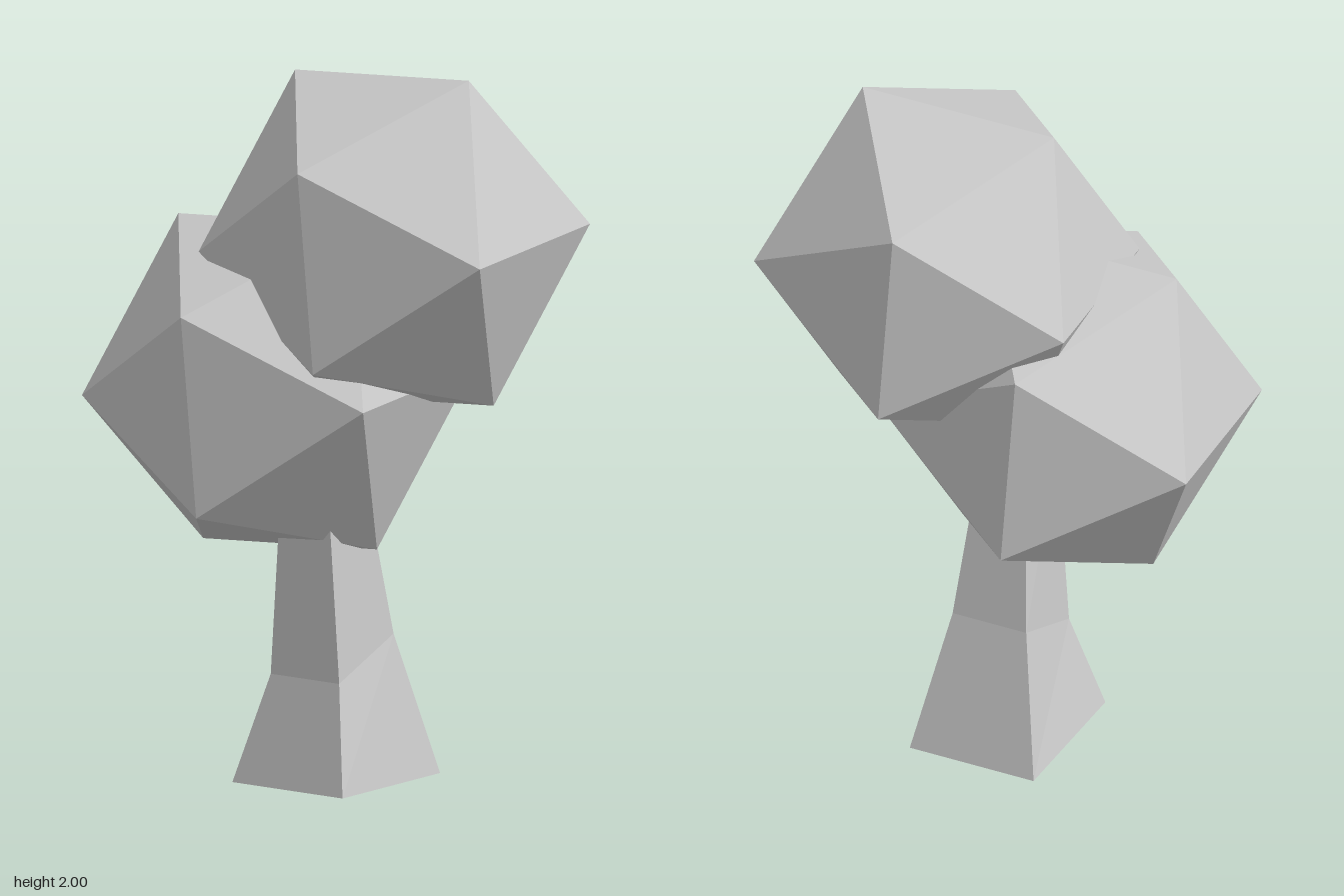
import * as THREE from 'three';

const material = new THREE.MeshStandardMaterial({ color: 0xcccccc, flatShading: true });

// Tapering square trunk with a slanted bend: a box whose corners move to three rings
function makeTrunk() {
  const rings = [
    { front: [0.19, 0, 0.225], back: [0.19, 0, -0.22] },
    { front: [0.118, 0.3, 0.145], back: [0.113, 0.4, -0.11] },
    { front: [0.08, 0.85, 0.147], back: [0.072, 0.85, -0.03] },
  ];
  const geometry = new THREE.BoxGeometry(2, 2, 2, 1, 2, 1);
  const p = geometry.attributes.position;
  for (let i = 0; i < p.count; i++) {
    const ring = rings[Math.round(p.getY(i)) + 1];
    const [x, y, z] = p.getZ(i) > 0 ? ring.front : ring.back;
    p.setXYZ(i, Math.sign(p.getX(i)) * x, y, z);
  }
  geometry.computeVertexNormals();
  const trunk = new THREE.Mesh(geometry, material);
  trunk.name = 'trunk';
  return trunk;
}

// Faceted foliage ball, both tilted the same way
function makeFoliage(name, x, y, z) {
  const ball = new THREE.Mesh(new THREE.IcosahedronGeometry(0.54, 0), material);
  const xAxis = new THREE.Vector3(0.565, 0.03, -0.045).normalize();
  const zAxis = new THREE.Vector3(0.082, -0.056, 0.995).normalize();
  const yAxis = zAxis.clone().cross(xAxis).normalize();
  zAxis.crossVectors(xAxis, yAxis);
  ball.quaternion.setFromRotationMatrix(new THREE.Matrix4().makeBasis(xAxis, yAxis, zAxis));
  ball.position.set(x, y, z);
  ball.name = name;
  return ball;
}

export function createModel() {
  const tree = new THREE.Group();
  tree.name = 'tree';
  tree.add(
    makeTrunk(),
    makeFoliage('upperFoliage', 0.161, 1.527, -0.05),
    makeFoliage('lowerFoliage', -0.166, 1.1, 0.05),
  );
  return tree;
}
